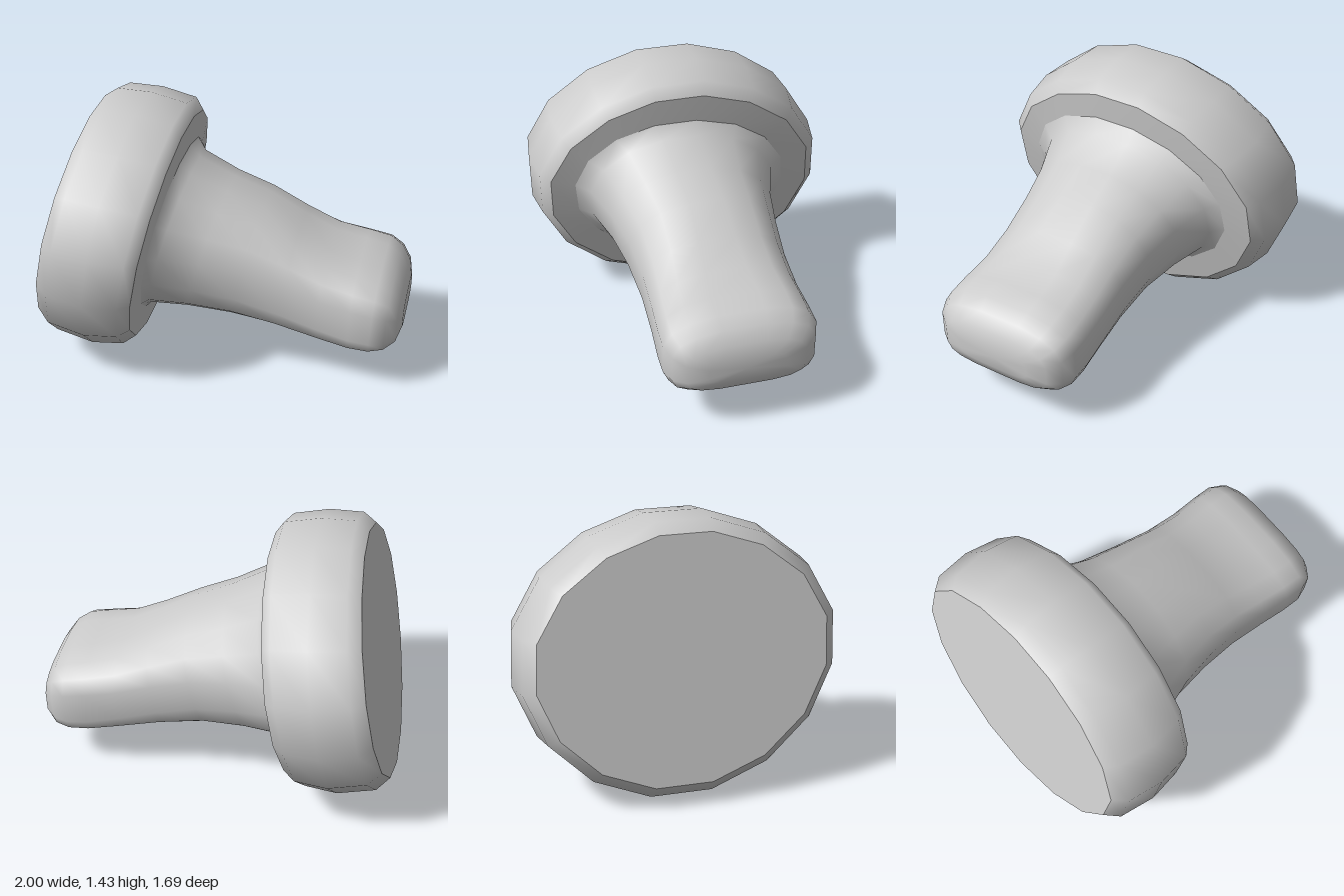
import * as THREE from 'three';

const SIDES = 16;

// One ring of points. Section: [topX, topY, bottomX, bottomY, halfWidth, upperSquareness, lowerSquareness]
// lean shears the top sideways, lift raises the widest level, taper narrows the top
function ring([tx, ty, bx, by, hz, nTop = 2, nLow = 2], { zMid, lean, lift, taper }) {
  const pts = [];
  for (let j = 0; j < SIDES; j++) {
    const a = ((j + 0.5) / SIDES) * Math.PI * 2;
    const n = Math.cos(a) > 0 ? nTop : nLow;
    const pow = (v) => Math.sign(v) * Math.abs(v) ** (2 / n);
    const full = pow(Math.cos(Math.PI / SIDES)); // lets the flat sides reach the full size
    const u = pow(Math.cos(a)) / full;
    const w = (pow(Math.sin(a)) / full) * (1 - taper * Math.max(u, 0) ** 2);
    const h = u + lift * (1 - u * u);
    pts.push([
      (tx + bx) / 2 + (h * (tx - bx)) / 2,
      (ty + by) / 2 + (h * (ty - by)) / 2,
      zMid + hz * w + lean * u,
    ]);
  }
  return pts;
}

function toGeometry(points, index) {
  const g = new THREE.BufferGeometry();
  g.setAttribute('position', new THREE.Float32BufferAttribute(points.flat(), 3));
  g.setIndex(index);
  g.computeVertexNormals();
  return g;
}

const centre = (pts) => [0, 1, 2].map((k) => pts.reduce((s, p) => s + p[k], 0) / pts.length);

// Smooth skin through the rings, running towards +x, with an optional closed tip
function skin(rings, tip) {
  const points = rings.flat(), index = [];
  for (let i = 0; i < rings.length - 1; i++) {
    for (let j = 0; j < SIDES; j++) {
      const k = (j + 1) % SIDES;
      const a = i * SIDES + j, b = i * SIDES + k;
      index.push(a, b, b + SIDES, a, b + SIDES, a + SIDES);
    }
  }
  if (tip) {
    const start = (rings.length - 1) * SIDES;
    points.push(centre(rings.at(-1)));
    for (let j = 0; j < SIDES; j++) index.push(points.length - 1, start + j, start + ((j + 1) % SIDES));
  }
  return toGeometry(points, index);
}

// Flat lid facing -x
function backLid(pts) {
  const index = [];
  for (let j = 0; j < SIDES; j++) index.push(SIDES, (j + 1) % SIDES, j);
  return toGeometry([...pts, centre(pts)], index);
}

export function createModel() {
  const model = new THREE.Group();
  const material = new THREE.MeshStandardMaterial({ color: 0xcccccc });
  const add = (name, geometry, parent) => {
    const mesh = new THREE.Mesh(geometry, material);
    mesh.name = name;
    parent.add(mesh);
  };

  // Tilted, slightly egg-shaped disc with a rounded rim
  const discRings = [
    [-0.742, 1.38, -1.0, 0.13, 0.755],
    [-0.67, 1.428, -0.93, 0.05, 0.815],
    [-0.48, 1.422, -0.72, 0.002, 0.84],
    [-0.28, 1.38, -0.55, 0.015, 0.81],
    [-0.235, 1.312, -0.48, 0.07, 0.755],
  ].map((s, i) => ring(s, { zMid: 0.003 * i, lean: 0.035, lift: 0.05, taper: 0.08 }));

  // Stem: oval and flared at the disc, flattening to a rounded block
  const stemRings = [
    [-0.247, 1.16, -0.437, 0.24, 0.605, 2, 2],
    [-0.195, 1.09, -0.41, 0.282, 0.53, 2, 2.2],
    [0.0, 0.99, -0.2, 0.3, 0.46, 2.1, 2.5],
    [0.2, 0.91, 0.05, 0.298, 0.418, 2.2, 2.8],
    [0.4, 0.795, 0.3, 0.272, 0.397, 2.4, 3.3],
    [0.57, 0.705, 0.55, 0.237, 0.4, 2.6, 4],
    [0.74, 0.662, 0.72, 0.215, 0.411, 2.8, 4.5],
    [0.86, 0.635, 0.83, 0.212, 0.413, 2.8, 4.5],
    [0.93, 0.59, 0.91, 0.225, 0.385, 2.8, 4.5],
    [0.978, 0.52, 0.968, 0.253, 0.32, 3, 4],
    [0.998, 0.45, 0.995, 0.31, 0.21, 3, 4],
  ].map((s, i) => {
    const flare = Math.max(0, 1 - i / 3); // the egg shape fades out along the stem
    return ring(s, { zMid: 0.02, lean: 0.05 * flare, lift: 0.04 * flare, taper: 0 });
  });

  const disc = new THREE.Group();
  disc.name = 'disc';
  add('discRim', skin(discRings), disc);
  add('discBackFace', backLid(discRings[0]), disc);
  add('discFrontFace', skin([discRings.at(-1), stemRings[0]]), disc);
  model.add(disc);
  add('stem', skin(stemRings, true), model);

  return model;
}
